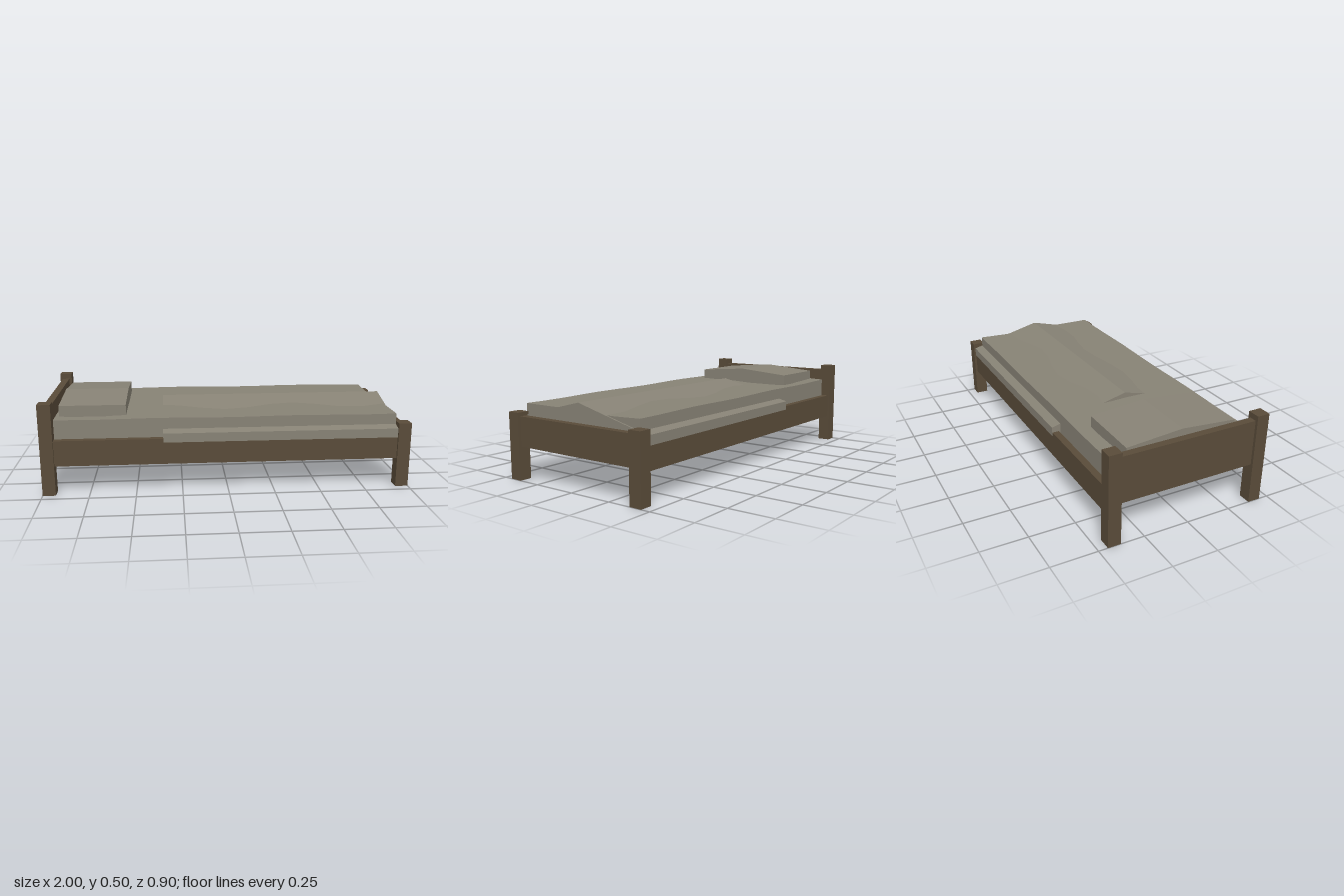
import * as THREE from 'three';

const wood = new THREE.MeshStandardMaterial({ color: 0x594b39 });
wood.name = 'darkWood';
const linen = new THREE.MeshStandardMaterial({ color: 0x878275 });
linen.name = 'greyLinen';

export function createModel() {
  const bed = new THREE.Group();
  bed.name = 'bed';

  const add = (name, geometry, material) => {
    const mesh = new THREE.Mesh(geometry, material);
    mesh.name = name;
    bed.add(mesh);
    return mesh;
  };

  // Box given by its limits on each axis
  const box = (name, [x0, x1], [y0, y1], [z0, z1], material) =>
    add(name, new THREE.BoxGeometry(x1 - x0, y1 - y0, z1 - z0), material)
      .position.set((x0 + x1) / 2, (y0 + y1) / 2, (z0 + z1) / 2);

  // Gabled block with its ridge along x
  const gable = (name, x0, x1, halfWidth, base, eave, ridge) => {
    const shape = new THREE.Shape([
      new THREE.Vector2(-halfWidth, base),
      new THREE.Vector2(halfWidth, base),
      new THREE.Vector2(halfWidth, eave),
      new THREE.Vector2(0, ridge),
      new THREE.Vector2(-halfWidth, eave),
    ]);
    const geometry = new THREE.ExtrudeGeometry(shape, { depth: x1 - x0, bevelEnabled: false });
    geometry.rotateY(Math.PI / 2).translate(x0, 0, 0);
    add(name, geometry, linen);
  };

  // Posts and side rails, mirrored front to back
  for (const s of [-1, 1]) {
    const span = (a, b) => (s > 0 ? [a, b] : [-b, -a]);
    const side = s > 0 ? 'Front' : 'Back';
    box('headPost' + side, [-1, -0.93], [0, 0.5], span(0.38, 0.45), wood);
    box('footPost' + side, [0.93, 1], [0, 0.36], span(0.38, 0.45), wood);
    box('sideRail' + side, [-0.94, 0.94], [0.16, 0.3], span(0.4, 0.437), wood);
  }

  // End boards
  box('headboard', [-0.985, -0.945], [0.22, 0.47], [-0.39, 0.39], wood);
  box('footboard', [0.945, 0.985], [0.18, 0.34], [-0.39, 0.39], wood);

  // Mattress with a gently uneven top, shaded as a flat one
  const mattress = new THREE.BoxGeometry(1.86, 0.18, 0.78, 14, 1, 5).translate(0, 0.31, 0);
  const p = mattress.attributes.position;
  for (let i = 0; i < p.count; i++) {
    if (p.getY(i) < 0.3) continue;
    const x = p.getX(i), z = p.getZ(i);
    const swell = Math.abs(z) > 0.38 ? 0.002 : 0.008;
    p.setY(i, 0.402 + swell * Math.cos(8.5 * (x - (z > 0 ? 0.38 : 0.5))));
  }
  add('mattress', mattress, linen);

  // Bedding
  gable('blanket', -0.35, 0.938, 0.44, 0.28, 0.33, 0.44);
  gable('pillow', -0.91, -0.55, 0.31, 0.39, 0.46, 0.485);

  return bed;
}
